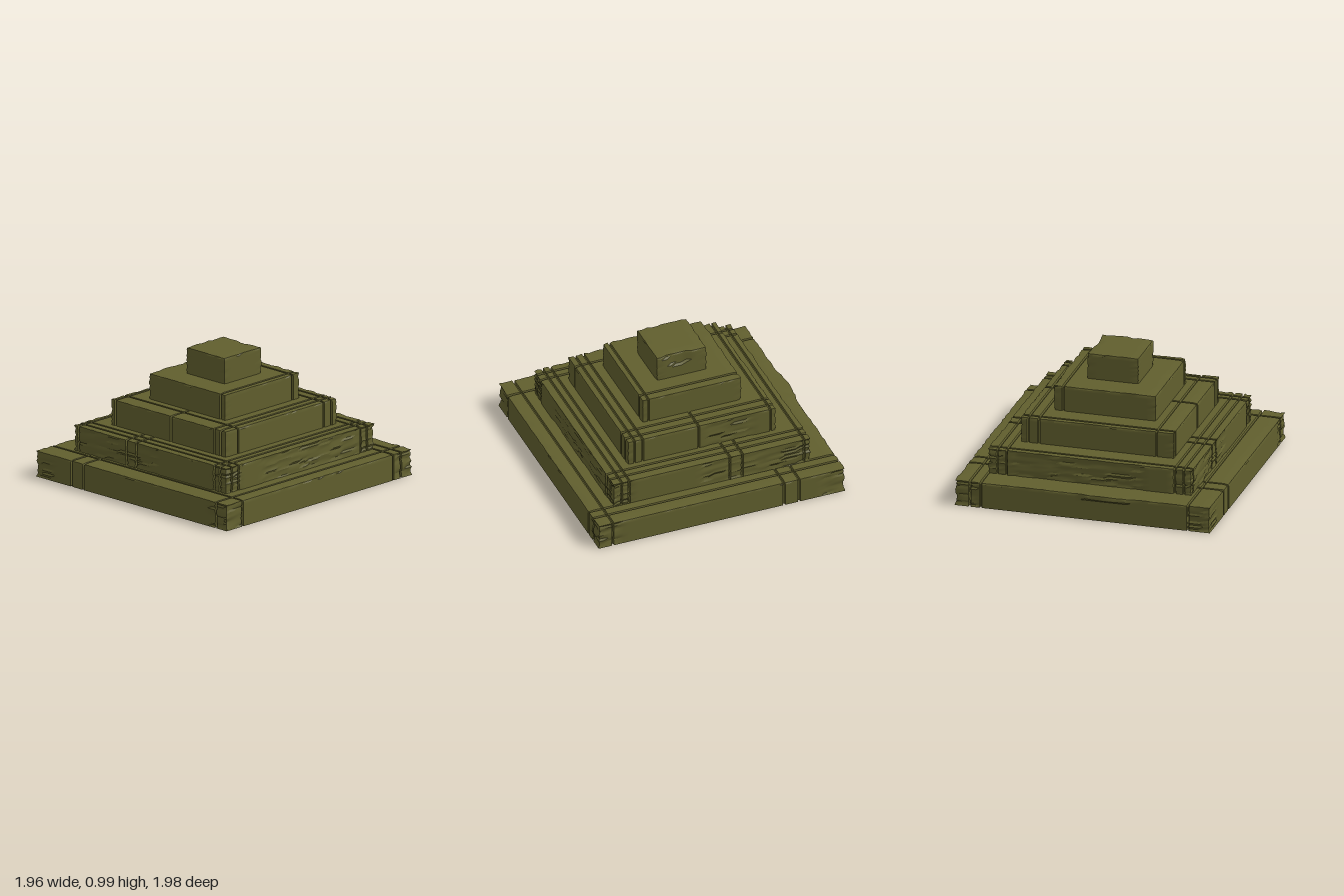
import * as THREE from 'three';
import { toCreasedNormals } from 'three/addons/utils/BufferGeometryUtils.js';

// Repeatable noise in 0..1 from a position
function noise(a, b, c) {
  const s = Math.sin(a * 127.1 + b * 311.7 + c * 74.7) * 43758.5453;
  return s - Math.floor(s);
}

// Grid lines from lo to hi, with extra lines at each groove's rims and floor
function gridLines(lo, hi, step, grooves = []) {
  const n = Math.max(1, Math.round((hi - lo) / step));
  const lines = [];
  for (let i = 0; i <= n; i++) {
    const v = lo + ((hi - lo) * i) / n;
    const end = i === 0 || i === n;
    if (end || grooves.every((g) => Math.abs(v - g) > 0.012)) lines.push(v);
  }
  for (const g of grooves) lines.push(g - 0.009, g - 0.004, g + 0.004, g + 0.009);
  return lines.sort((a, b) => a - b);
}

const inGroove = (v, grooves) => grooves.some((g) => Math.abs(v - g) < 0.006);

// One stone step: a gridded block with joints cut around it and worn faces
function tierGeometry({ half, cx = 0, cz = 0, y0, y1, xg = [], zg = [], rough, shape }) {
  const xs = gridLines(cx - half, cx + half, 0.04, xg);
  const zs = gridLines(cz - half, cz + half, 0.04, zg);
  const ys = gridLines(y0, y1, 0.016);
  const axes = [xs, ys, zs];
  const geo = new THREE.BoxGeometry(1, 1, 1, xs.length - 1, ys.length - 1, zs.length - 1);
  const pos = geo.attributes.position;
  const p = new THREE.Vector3();
  for (let i = 0; i < pos.count; i++) {
    const id = [pos.getX(i), pos.getY(i), pos.getZ(i)].map((v, k) => Math.round((v + 0.5) * (axes[k].length - 1)));
    const [x, y, z] = id.map((n, k) => axes[k][n]);
    // Which way each outer face points; zero for lines inside a face
    const [sx, sy, sz] = id.map((n, k) => (n === 0 ? -1 : n === axes[k].length - 1 ? 1 : 0));
    p.set(x, y, z);

    // Joints run round the block, cutting the faces they cross
    const cutX = inGroove(x, xg) ? 0.014 : 0;
    const cutZ = inGroove(z, zg) ? 0.014 : 0;
    if (sz) p.z -= sz * cutX;
    if (sx) p.x -= sx * cutZ;
    if (sy > 0) p.y -= Math.max(cutX, cutZ);
    if (sy < 0) p.y += Math.max(cutX, cutZ) * 0.4;

    // Horizontal weathered layers on the walls
    if (rough && rough(x, z) && sy === 0) {
      const d = 0.011 * noise(id[1], Math.floor((x + z) * 9), half);
      p.x -= sx * d;
      p.z -= sz * d;
    }
    // Slightly chipped edges
    if (Math.abs(sx) + Math.abs(sy) + Math.abs(sz) > 1 && y > y0) {
      const d = 0.007 * noise(x, y, z);
      p.x -= sx * d;
      p.y -= sy * d;
      p.z -= sz * d;
    }
    if (shape) shape(p, sx, sy, sz);
    pos.setXYZ(i, p.x, p.y, p.z);
  }
  return toCreasedNormals(geo, 0.5);
}

// Bulge along the top of the base's back edge
function backBulge(p, sx, sy, sz) {
  const t = Math.max(0, 1 - Math.abs(p.x + 0.18) / 0.2);
  if (sz < 0 && p.y > 0.165) {
    p.z -= 0.024 * Math.sqrt(t);
    if (sy > 0) p.y += 0.006 * t;
  }
}

// Round dent at the top of the cap's right-hand wall
function capDent(p, sx) {
  const r = Math.hypot(p.z - 0.03, p.y - 0.98);
  if (sx > 0 && r < 0.095) p.x -= 0.014;
}

export function createModel() {
  const model = new THREE.Group();
  model.name = 'steppedPyramid';
  const stone = new THREE.MeshStandardMaterial({ color: 0x615f2e });

  // Steps from the ground up, each with its joint positions
  const tiers = [
    {
      name: 'baseStep', half: 0.98, cz: 0.004, y0: 0, y1: 0.2,
      xg: [-0.81, 0.78, 0.865], zg: [-0.61, -0.49, 0.87],
      rough: (x, z) => Math.abs(x) > 0.81 && Math.abs(z) > 0.81, shape: backBulge,
    },
    {
      name: 'secondStep', half: 0.785, cz: 0.004, y0: 0.18, y1: 0.397,
      xg: [-0.72, -0.65, 0.64, 0.71], zg: [-0.73, -0.24, -0.14, 0.66, 0.72],
      rough: (x, z) => (Math.abs(x) > 0.64 && Math.abs(z) > 0.64) || (x > -0.4 && x < 0.6) || (z > -0.7 && z < 0.1),
    },
    {
      name: 'thirdStep', half: 0.588, cz: 0.004, y0: 0.375, y1: 0.595,
      xg: [-0.455, 0.45, 0.53], zg: [-0.54, 0.03, 0.475, 0.54],
      rough: (x, z) => x > 0.5 && z > -0.42 && z < -0.05,
    },
    { name: 'fourthStep', half: 0.392, cz: 0.004, y0: 0.573, y1: 0.792, xg: [0.32], zg: [0.35] },
    { name: 'capBlock', half: 0.197, cx: -0.003, cz: 0.006, y0: 0.77, y1: 0.992, shape: capDent },
  ];
  for (const tier of tiers) {
    const mesh = new THREE.Mesh(tierGeometry(tier), stone);
    mesh.name = tier.name;
    model.add(mesh);
  }
  return model;
}
